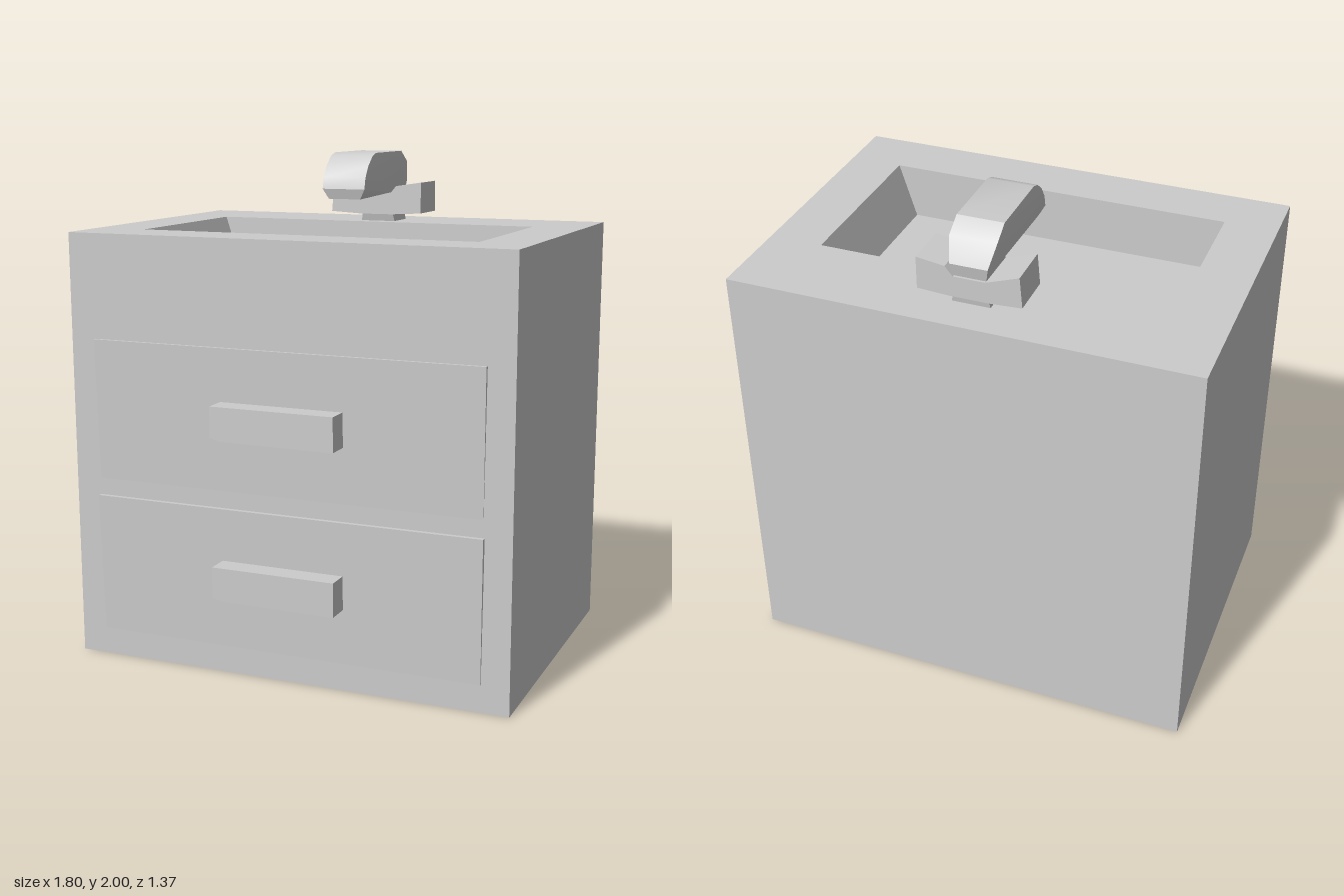
import * as THREE from 'three';
import { toCreasedNormals } from 'three/addons/utils/BufferGeometryUtils.js';

// Rectangular cross-section, counter-clockwise seen from above
const ring = (x, y, zBack, zFront) => [
  [-x, y, zFront], [x, y, zFront], [x, y, zBack], [-x, y, zBack],
];

// Joins four-cornered rings in order and caps the first and last
function loft(rings) {
  const index = [];
  const quad = (a, b, c, d) => index.push(a, b, c, a, c, d);
  for (let r = 0; r < rings.length - 1; r++) {
    for (let i = 0; i < 4; i++) {
      const j = (i + 1) % 4, a = r * 4, b = a + 4;
      quad(a + i, a + j, b + j, b + i);
    }
  }
  const e = (rings.length - 1) * 4;
  quad(3, 2, 1, 0);
  quad(e, e + 1, e + 2, e + 3);
  const indexed = new THREE.BufferGeometry();
  indexed.setAttribute('position', new THREE.Float32BufferAttribute(rings.flat(2), 3));
  indexed.setIndex(index);
  const geometry = indexed.toNonIndexed();
  geometry.computeVertexNormals();
  return geometry;
}

// Extrudes a 2D outline, centred on its depth
function slab(points, depth) {
  const shape = new THREE.Shape(points.map(([x, y]) => new THREE.Vector2(x, y)));
  return new THREE.ExtrudeGeometry(shape, { depth, bevelEnabled: false }).translate(0, 0, -depth / 2);
}

export function createModel() {
  const model = new THREE.Group();
  model.name = 'sinkCabinet';
  const grey = new THREE.MeshStandardMaterial({ color: 0xcccccc });
  grey.name = 'light grey';

  const add = (name, geometry, parent = model) => {
    const mesh = new THREE.Mesh(geometry, grey);
    mesh.name = name;
    parent.add(mesh);
    return mesh;
  };

  // Cabinet with the basin sunk into its top
  add('cabinetWithBasin', loft([
    ring(0.9, 0.005, -0.68, 0.577),
    ring(0.9, 1.708, -0.685, 0.588),
    ring(0.69, 1.708, -0.34, 0.37),
    ring(0.62, 1.49, -0.34, 0.37),
  ]));

  // Two drawers, each with a slightly leaning front and a bar handle
  [0.115, 0.74].forEach((y, i) => {
    const drawer = new THREE.Group();
    drawer.name = i ? 'upperDrawer' : 'lowerDrawer';
    drawer.position.y = y;
    model.add(drawer);
    add('drawerFront', loft([
      ring(0.79, 0, 0.53, 0.584),
      ring(0.795, 0.557, 0.53, 0.6),
    ]), drawer);
    add('drawerHandle', slab([
      [-0.25, 0.23], [-0.21, 0.219], [0.25, 0.217], [0.25, 0.35], [-0.25, 0.35],
    ], 0.11).translate(0, 0, 0.63), drawer);
  });

  // Tap
  const tap = new THREE.Group();
  tap.name = 'tap';
  model.add(tap);
  add('tapStem', loft([
    ring(0.075, 1.7, -0.53, -0.4),
    ring(0.065, 1.76, -0.54, -0.385),
  ]), tap);
  add('tapLevers', slab([
    [-0.2, 1.745], [-0.07, 1.738], [0.07, 1.738], [0.2, 1.745],
    [0.2, 1.872], [0.09, 1.856], [0.06, 1.82], [-0.06, 1.82],
    [-0.09, 1.83], [-0.19, 1.865],
  ], 0.18).translate(0, 0, -0.46), tap);

  // Spout outline in z and y, narrowed towards the underside and the back
  const spout = slab([
    [-0.37, 1.83], [-0.37, 1.77], [-0.53, 1.77], [-0.55, 1.87], [-0.5, 1.955],
    [-0.43, 2], [-0.14, 2], [-0.1, 1.987], [-0.055, 1.95], [-0.025, 1.905],
    [-0.014, 1.86], [-0.025, 1.82],
  ], 0.18).rotateY(-Math.PI / 2);
  const p = spout.attributes.position;
  for (let i = 0; i < p.count; i++) {
    let s = 1;
    if (p.getY(i) < 1.85) s *= 0.75;
    if (p.getZ(i) < -0.51) s *= 0.8;
    p.setX(i, p.getX(i) * s);
  }
  add('tapSpout', toCreasedNormals(spout, 0.5), tap);

  return model;
}
